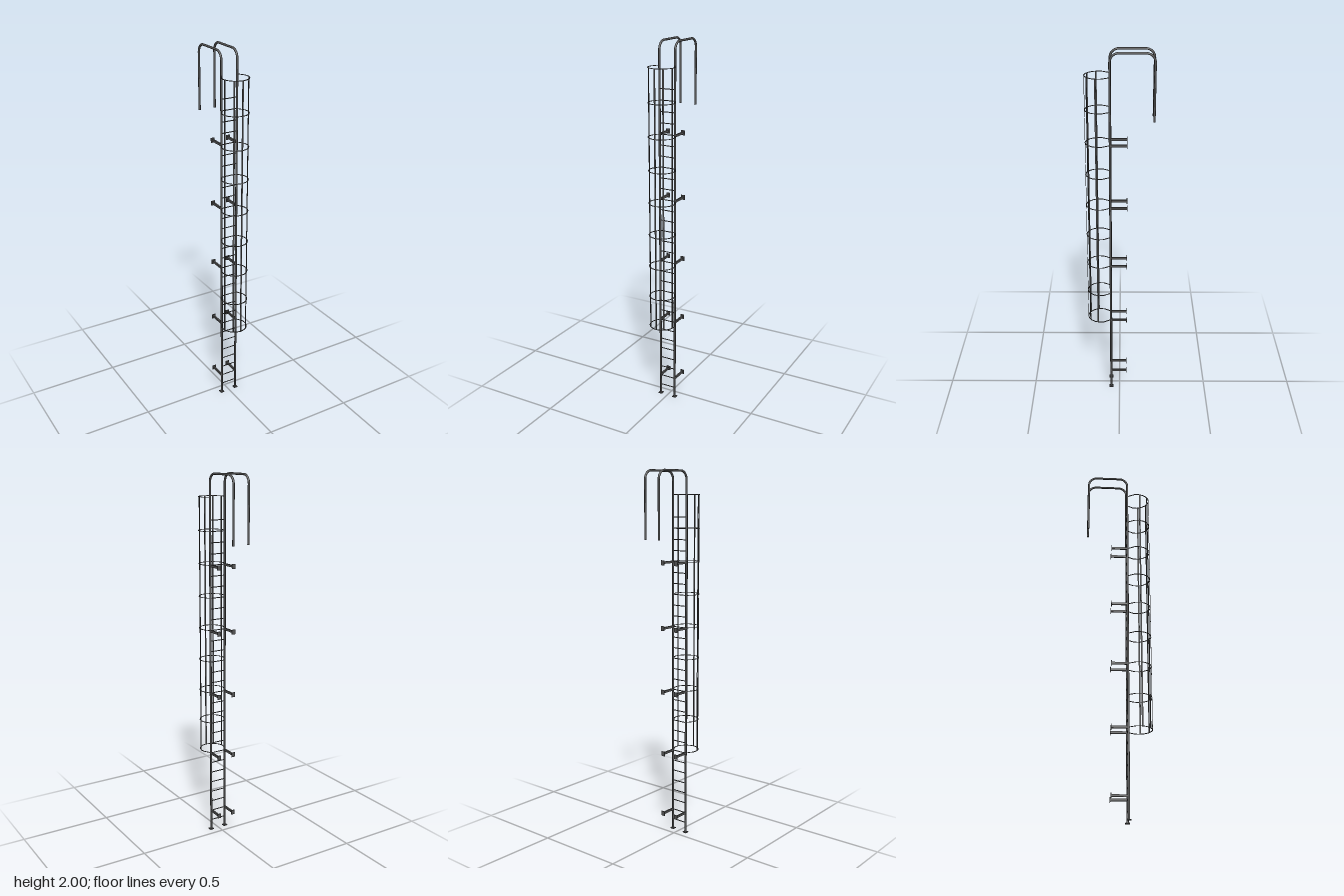
import * as THREE from 'three';

const RAIL_X = 0.045, RAIL_Z = 0.0485, BACK_Z = -0.1735; // rail centre lines
const RAIL_R = 0.0058, BEND = 0.045, TOP = 1.9942;
const STEP = 0.0586; // rung spacing
const HOOP_Z = 0.107; // centre of the cage circle

export function createModel() {
  const model = new THREE.Group();
  model.name = 'cagedLadder';
  const material = new THREE.MeshStandardMaterial({ color: 0x555555 });

  function add(name, geometry, x, y, z, parent = model) {
    const mesh = new THREE.Mesh(geometry, material);
    mesh.name = name;
    mesh.position.set(x, y, z);
    parent.add(mesh);
    return mesh;
  }
  const rod = (radius, length) => new THREE.CylinderGeometry(radius, radius, length, 12);

  for (const [side, x] of [['left', RAIL_X], ['right', -RAIL_X]]) {
    // Rail that rises, bends over the top and comes down behind
    const rail = new THREE.Group();
    rail.name = side + 'Rail';
    model.add(rail);
    const bendY = TOP - BEND;
    add('upright', rod(RAIL_R, bendY), x, bendY / 2, RAIL_Z, rail);
    const span = RAIL_Z - BACK_Z - 2 * BEND;
    add('topBar', rod(RAIL_R, span), x, TOP, (RAIL_Z + BACK_Z) / 2, rail).rotation.x = Math.PI / 2;
    const drop = bendY - 1.648;
    add('backHandrail', rod(RAIL_R, drop), x, bendY - drop / 2, BACK_Z, rail);
    const bend = new THREE.TorusGeometry(BEND, RAIL_R, 12, 10, Math.PI / 2);
    add('frontBend', bend, x, bendY, RAIL_Z - BEND, rail).rotation.y = -Math.PI / 2;
    add('backBend', bend, x, bendY, BACK_Z + BEND, rail).rotation.y = Math.PI / 2;
    add('footPlate', new THREE.BoxGeometry(0.023, 0.004, 0.023), x, 0.002, RAIL_Z, rail);

    // Wall brackets with end plates
    for (let i = 0; i < 5; i++) {
      const bracket = new THREE.Group();
      bracket.name = side + 'WallBracket';
      bracket.position.set(x, 0.118 + i * 0.351, 0);
      model.add(bracket);
      add('arm', new THREE.BoxGeometry(0.009, 0.012, 0.089), 0, 0, 0.004, bracket);
      add('wallPlate', new THREE.BoxGeometry(0.022, 0.026, 0.003), 0, 0, -0.0395, bracket);
    }
  }

  // Rungs
  for (let i = 1; i <= 30; i++) {
    add('rung', rod(0.0025, 2 * RAIL_X), 0, i * STEP, RAIL_Z).rotation.z = Math.PI / 2;
  }

  // Cage hoops: an open flat band joining the two rails
  const half = [[0.047, 0.049], [0.0695, 0.0875], [0.0715, 0.113], [0.0635, 0.139], [0.048, 0.159], [0.026, 0.173]];
  const outer = [...half, [0, 0.1785], ...half.map(([x, z]) => [-x, z]).reverse()]
    .map(([x, z]) => new THREE.Vector2(x, z));
  const inner = outer.map((p) => new THREE.Vector2(p.x * 0.94, HOOP_Z + (p.y - HOOP_Z) * 0.94)).reverse();
  const band = new THREE.ExtrudeGeometry(new THREE.Shape([...outer, ...inner]), { depth: 0.003, bevelEnabled: false });
  band.rotateX(Math.PI / 2).translate(0, 0.0015, 0);
  for (let i = 0; i < 9; i++) add('cageHoop', band, 0, 0.47 + i * 0.1755, 0);

  // Upright flat bars along the hoops
  for (const degrees of [-80, -36, 0, 36, 80]) {
    const a = THREE.MathUtils.degToRad(degrees);
    const bar = add('cageBar', new THREE.BoxGeometry(0.008, 1.407, 0.002),
      0.069 * Math.sin(a), 1.172, HOOP_Z + 0.069 * Math.cos(a));
    bar.rotation.y = a;
  }
  return model;
}
